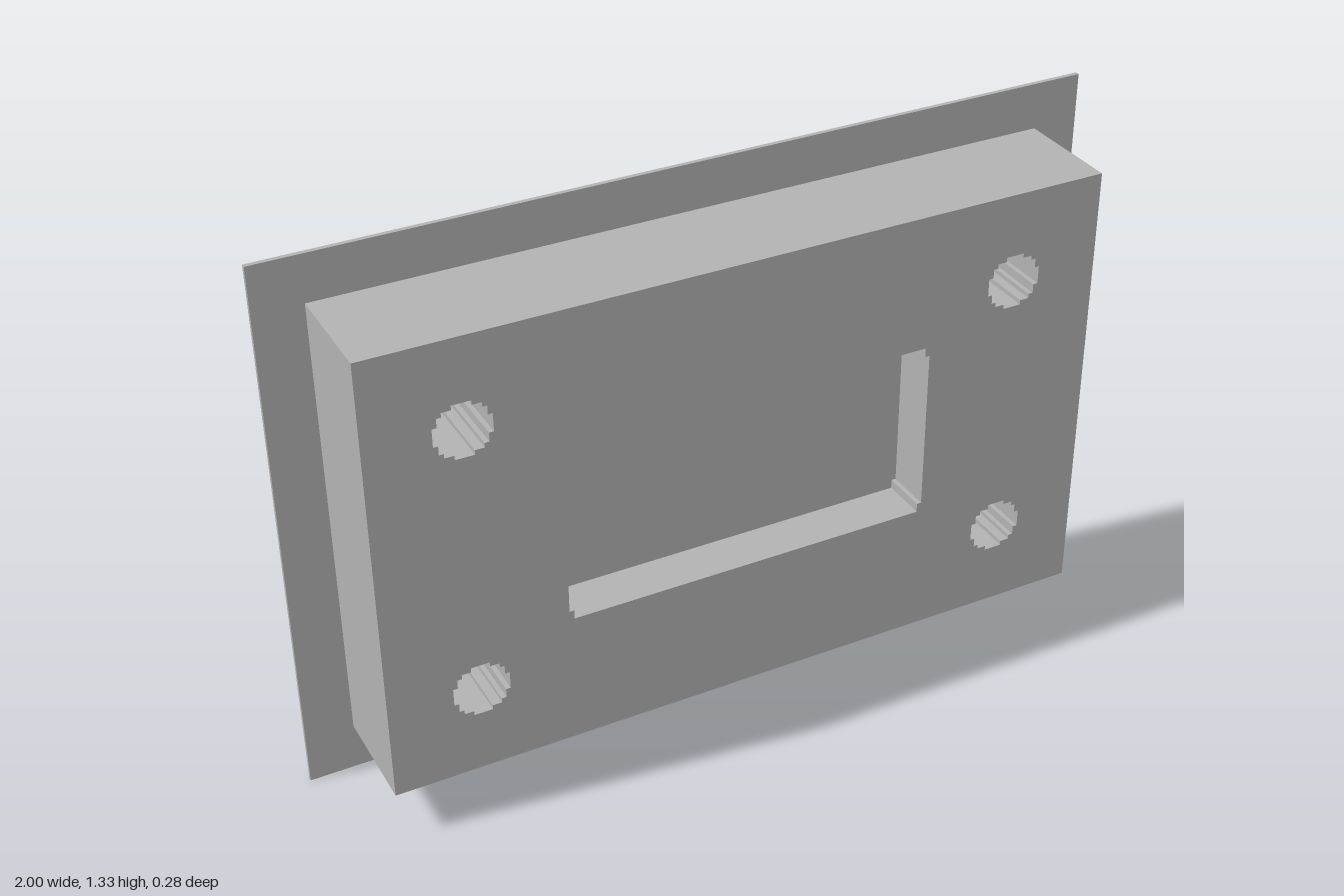
import * as THREE from 'three';

const STEP = 0.0111; // size of one stair step on the rounded cut-outs
const CY = 0.668;    // height of the block's centre

// Mirrors a first-quadrant run of [x, y] corners into a closed counter-clockwise outline
function mirrored(quarter, cx, cy, Type = THREE.Path) {
  const rev = [...quarter].reverse();
  const pts = [
    ...quarter.map(([x, y]) => [x, y]),
    ...rev.map(([x, y]) => [-x, y]),
    ...quarter.map(([x, y]) => [-x, -y]),
    ...rev.map(([x, y]) => [x, -y]),
  ];
  return new Type(pts.map(([x, y]) => new THREE.Vector2(cx + x, cy + y)));
}

// Stepped round screw hole
function screwHole(cx, cy) {
  const s = STEP;
  const q = [[6, 2], [5, 2], [5, 4], [4, 4], [4, 5], [2, 5], [2, 6]].map(([x, y]) => [x * s, y * s * 0.98]);
  return mirrored(q, cx, cy);
}

// Rectangular pocket with stepped corners
function pocketOutline() {
  const w = 0.452, h = 0.222, s = STEP;
  return mirrored([[w, h - 2 * s], [w - s, h - 2 * s], [w - s, h]], 0, CY);
}

// One slab of the block, pierced by the four screw holes and any extra cut-outs
function slab(name, z0, z1, extraHoles, material) {
  const shape = mirrored([[0.886, 0.5525]], 0, CY + 0.001, THREE.Shape);
  for (const x of [-0.667, 0.667]) for (const y of [0.334, 1.003]) shape.holes.push(screwHole(x, y));
  shape.holes.push(...extraHoles);
  const geometry = new THREE.ExtrudeGeometry(shape, { depth: z1 - z0, bevelEnabled: false });
  geometry.translate(0, 0, z0);
  const mesh = new THREE.Mesh(geometry, material);
  mesh.name = name;
  return mesh;
}

export function createModel() {
  const model = new THREE.Group();
  model.name = 'mountingBlock';
  const grey = new THREE.MeshStandardMaterial({ color: 0xb2b2b2 });
  grey.name = 'grey';

  // Thin back plate
  const plate = new THREE.Mesh(new THREE.BoxGeometry(2, 1.334, 0.011), grey);
  plate.name = 'backPlate';
  plate.position.set(0, 0.667, -0.1335);
  model.add(plate);

  // Block: a pocketed front slab on a rear slab that forms the pocket floor
  const block = new THREE.Group();
  block.name = 'block';
  block.add(slab('blockFront', 0.025, 0.139, [pocketOutline()], grey));
  block.add(slab('blockRear', -0.128, 0.025, [], grey));
  model.add(block);

  return model;
}
